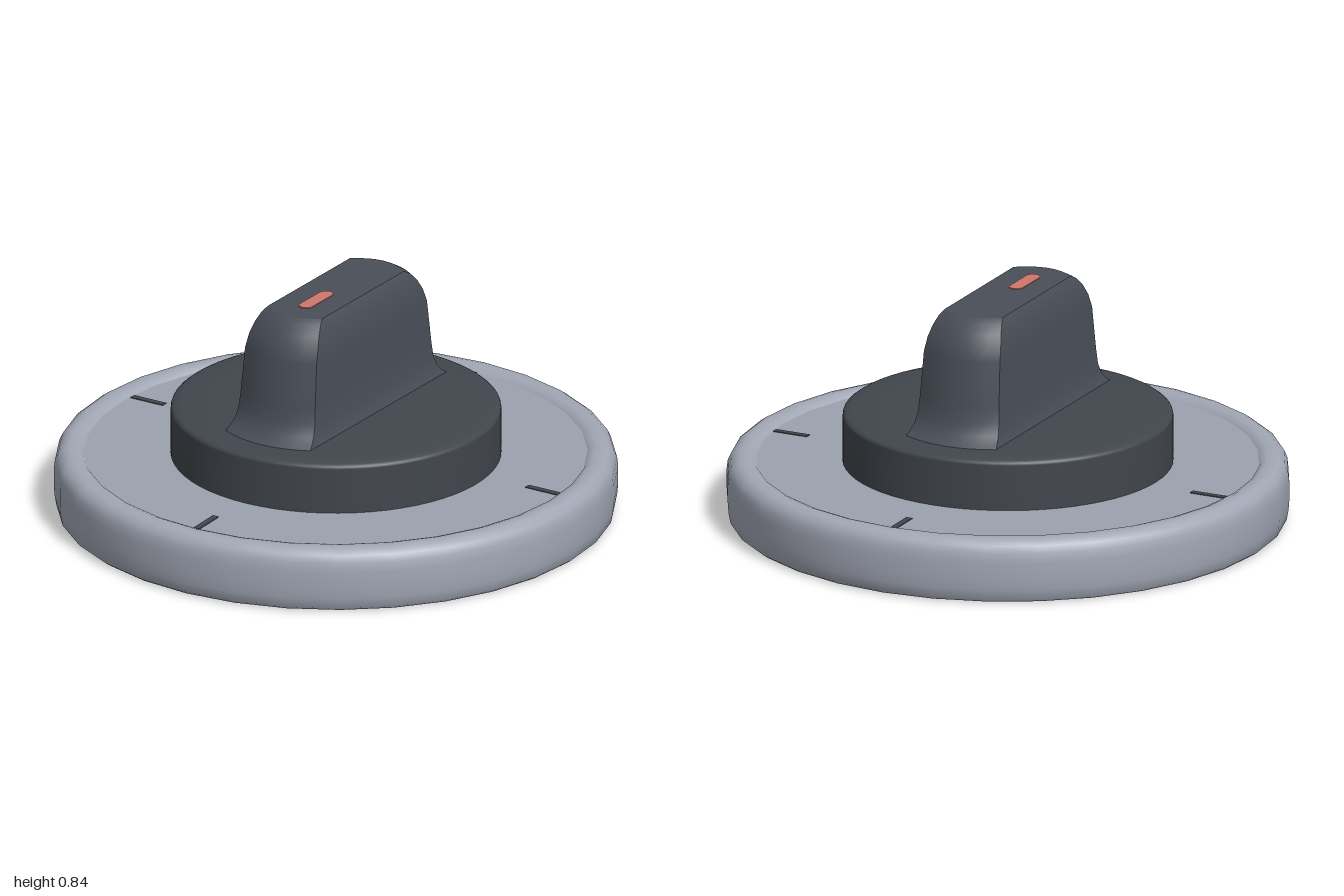
import * as THREE from 'three';

const mat = (name, color) => {
  const m = new THREE.MeshStandardMaterial({ color });
  m.name = name;
  return m;
};

function lathe(name, pts, segments, material) {
  const g = new THREE.LatheGeometry(pts.map(([r, y]) => new THREE.Vector2(r, y)), segments);
  const mesh = new THREE.Mesh(g, material);
  mesh.name = name;
  return mesh;
}

// Triangulated grid from rows of points; each grid keeps its own normals so borders stay crisp
function grid(rows) {
  const pos = [], idx = [], n = rows[0].length;
  rows.forEach((row) => row.forEach((p) => pos.push(...p)));
  for (let r = 0; r < rows.length - 1; r++) {
    for (let c = 0; c < n - 1; c++) {
      const a = r * n + c, b = a + 1, d = a + n, e = d + 1;
      idx.push(a, b, e, a, e, d);
    }
  }
  const g = new THREE.BufferGeometry();
  g.setAttribute('position', new THREE.Float32BufferAttribute(pos, 3));
  g.setIndex(idx);
  g.computeVertexNormals();
  return g;
}

// Upright handle: [height, half width, half length at the middle of the bowed end]
function buildGrip(material) {
  const levels = [
    [0.395, 0.182, 0.502], [0.415, 0.175, 0.475], [0.44, 0.167, 0.45], [0.48, 0.161, 0.432],
    [0.54, 0.157, 0.424], [0.7, 0.151, 0.405], [0.75, 0.145, 0.387], [0.79, 0.135, 0.365],
    [0.82, 0.124, 0.338], [0.835, 0.114, 0.312],
  ];
  const bow = 0.045, cols = 8;
  const across = Array.from({ length: cols + 1 }, (_, i) => (2 * i) / cols - 1);
  const endZ = (t, hz) => hz - bow * t * t;
  const grip = new THREE.Group();
  grip.name = 'grip';
  const add = (name, rows) => {
    const mesh = new THREE.Mesh(grid(rows), material);
    mesh.name = name;
    grip.add(mesh);
  };
  for (const s of [1, -1]) {
    add(s > 0 ? 'gripFrontEnd' : 'gripBackEnd',
      levels.map(([y, hx, hz]) => across.map((t) => [s * t * hx, y, s * endZ(t, hz)])));
    add(s > 0 ? 'gripLeftSide' : 'gripRightSide',
      levels.map(([y, hx, hz]) => across.map((t) => [s * hx, y, -s * t * endZ(1, hz)])));
  }
  // Flat top closing the last section
  const [y, hx, hz] = levels[levels.length - 1];
  add('gripTop', [1, -1].map((s) => across.map((t) => [t * hx, y, s * endZ(t, hz)])));
  return grip;
}

export function createModel() {
  const model = new THREE.Group();
  model.name = 'rotaryKnob';
  const rimGrey = mat('rim grey', 0xa2a7b5);
  const dialGrey = mat('dial grey', 0x9ca2ae);
  const baseDark = mat('knob base charcoal', 0x41464d);
  const gripDark = mat('grip charcoal', 0x494e58);
  const red = mat('pointer red', 0xd0766c);

  // Wide bezel disc with a rounded rim
  model.add(lathe('bezel', [
    [0, 0], [0.965, 0], [0.975, 0.001], [0.99, 0.012], [0.997, 0.05], [1, 0.09], [1, 0.15],
    [0.996, 0.185], [0.985, 0.21], [0.965, 0.225], [0.945, 0.23], [0.92, 0.229],
    [0.9, 0.222], [0.888, 0.208],
  ], 32, rimGrey));

  // Slightly recessed dial face
  const dialY = 0.213;
  const dial = new THREE.Mesh(new THREE.CircleGeometry(0.892, 32).rotateX(-Math.PI / 2), dialGrey);
  dial.name = 'dialFace';
  dial.position.y = dialY;
  model.add(dial);

  // Four thin position marks: x, z, turn
  const markGeo = new THREE.BoxGeometry(0.024, 0.006, 0.135);
  [[0.006, -0.825, 0.01], [-0.02, 0.817, 0.04], [-0.817, -0.04, Math.PI / 2],
    [0.817, -0.087, Math.PI / 2]].forEach(([x, z, turn]) => {
    const mark = new THREE.Mesh(markGeo, baseDark);
    mark.name = 'dialMark';
    mark.position.set(x, dialY, z);
    mark.rotation.y = turn;
    model.add(mark);
  });

  // Round knob base
  model.add(lathe('knobBase', [
    [0.586, 0.2], [0.586, 0.38], [0.584, 0.388], [0.575, 0.395], [0.55, 0.401],
    [0.5, 0.404], [0.45, 0.405], [0, 0.405],
  ], 64, baseDark));

  model.add(buildGrip(gripDark));

  // Rounded pointer inlay on top of the grip
  const r = 0.026, h = 0.064;
  const slot = new THREE.Shape();
  slot.absarc(0, h, r, 0, Math.PI, false);
  slot.absarc(0, -h, r, Math.PI, Math.PI * 2, false);
  const pointer = new THREE.Mesh(
    new THREE.ExtrudeGeometry(slot, { depth: 0.006, bevelEnabled: false, curveSegments: 8 })
      .rotateX(-Math.PI / 2), red);
  pointer.name = 'pointer';
  pointer.position.set(0, 0.832, 0.13);
  model.add(pointer);

  return model;
}
